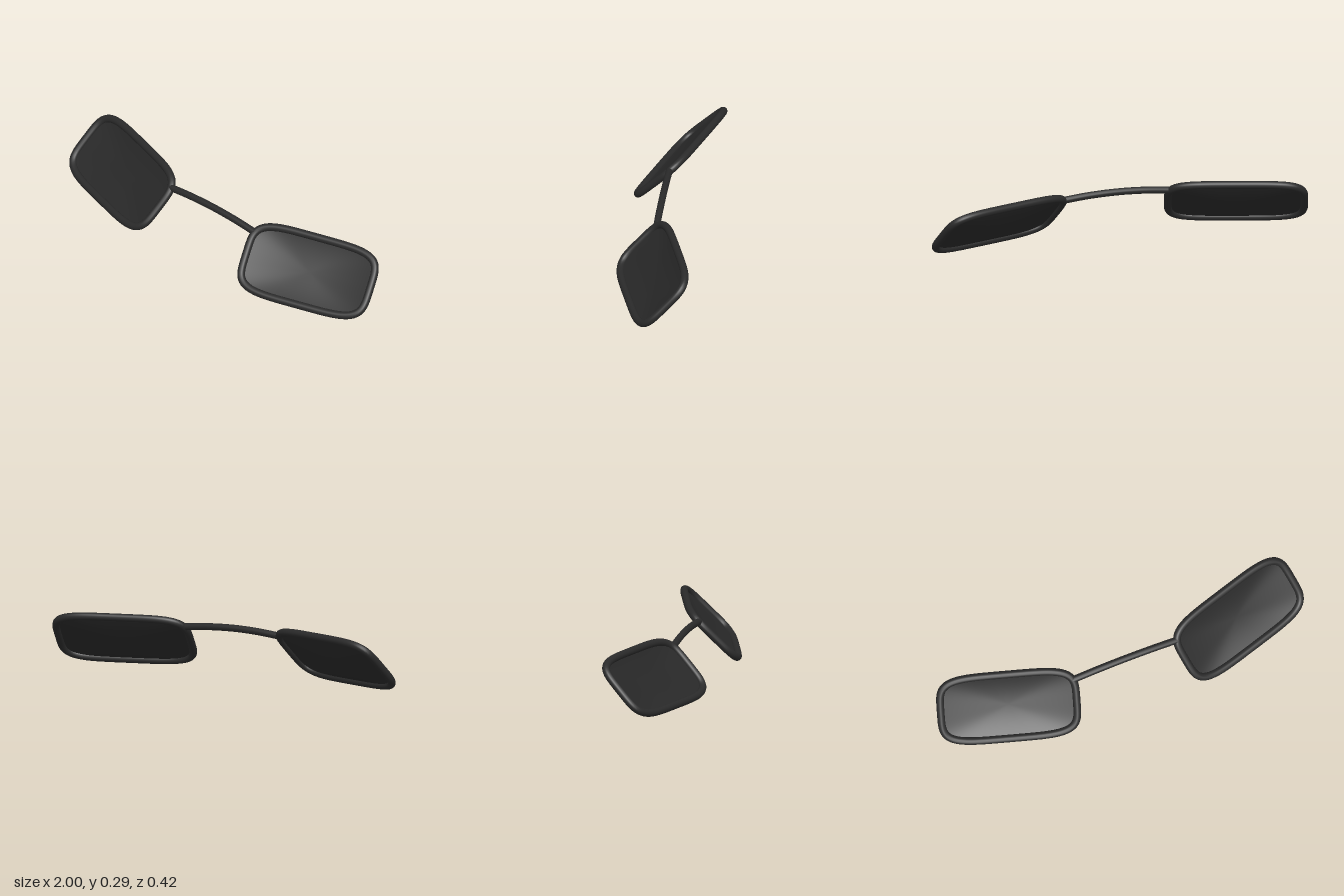
import * as THREE from 'three';

const A = 0.348, B = 0.18, POWER = 4.5; // half width, half height and squareness of the rim centreline
const RIM = 0.02, DISH = 0.025;

// Points round a soft rectangle with slightly bowed sides
function outline(count) {
  const soft = v => Math.sign(v) * Math.abs(v) ** (2 / POWER);
  return Array.from({ length: count }, (_, i) => {
    const t = ((i + 0.5) / count) * Math.PI * 2;
    return new THREE.Vector3(A * soft(Math.cos(t)), B * soft(Math.sin(t)), 0);
  });
}

// Shallow dish made of shrinking copies of the outline
function lensGeometry() {
  const n = 96, rings = 10, pts = outline(n), pos = [], idx = [];
  for (let r = 0; r <= rings; r++) {
    const s = 1 - r / rings;
    for (const p of pts) pos.push(p.x * s, p.y * s, -DISH * (1 - s * s));
  }
  for (let r = 0; r < rings; r++) {
    for (let i = 0; i < n; i++) {
      const j = (i + 1) % n, a = r * n + i, b = r * n + j, c = a + n, d = b + n;
      idx.push(a, b, c);
      if (r < rings - 1) idx.push(b, d, c);
    }
  }
  const g = new THREE.BufferGeometry();
  g.setAttribute('position', new THREE.Float32BufferAttribute(pos, 3));
  g.setIndex(idx);
  g.computeVertexNormals();
  // The centre ring collapses to one point, so its normals all face forward
  for (let i = 0; i < n; i++) g.attributes.normal.setXYZ(rings * n + i, 0, 0, 1);
  return g;
}

export function createModel() {
  const model = new THREE.Group();
  const frameMat = new THREE.MeshStandardMaterial({ color: 0x2a2a2a });
  frameMat.name = 'charcoal frame';
  const lensMat = new THREE.MeshStandardMaterial({ color: 0x282828, side: THREE.DoubleSide });
  lensMat.name = 'dark lens';

  const path = new THREE.CatmullRomCurve3(outline(96), true);
  path.arcLengthDivisions = 800;
  const rimGeo = new THREE.TubeGeometry(path, 128, RIM, 14, true);
  const lensGeo = lensGeometry();

  // Two panels, each leaning back and swept outwards
  for (const side of [1, -1]) {
    const panel = new THREE.Group();
    panel.name = side > 0 ? 'leftPanel' : 'rightPanel';
    const rim = new THREE.Mesh(rimGeo, frameMat);
    rim.name = 'rim';
    const lens = new THREE.Mesh(lensGeo, lensMat);
    lens.name = 'lens';
    panel.add(rim, lens);
    panel.rotation.set(-Math.PI / 4, side * 0.294, 0, 'YXZ');
    panel.position.set(side * 0.632, 0.149, 0);
    model.add(panel);
  }

  // Arched bridge joining the upper inner corners
  const arch = new THREE.CatmullRomCurve3([
    new THREE.Vector3(-0.29, 0.235, 0.018),
    new THREE.Vector3(-0.15, 0.248, 0.018),
    new THREE.Vector3(0, 0.253, 0.018),
    new THREE.Vector3(0.15, 0.248, 0.018),
    new THREE.Vector3(0.29, 0.235, 0.018),
  ]);
  const bridge = new THREE.Mesh(new THREE.TubeGeometry(arch, 32, 0.018, 14), frameMat);
  bridge.name = 'bridge';
  model.add(bridge);
  return model;
}
